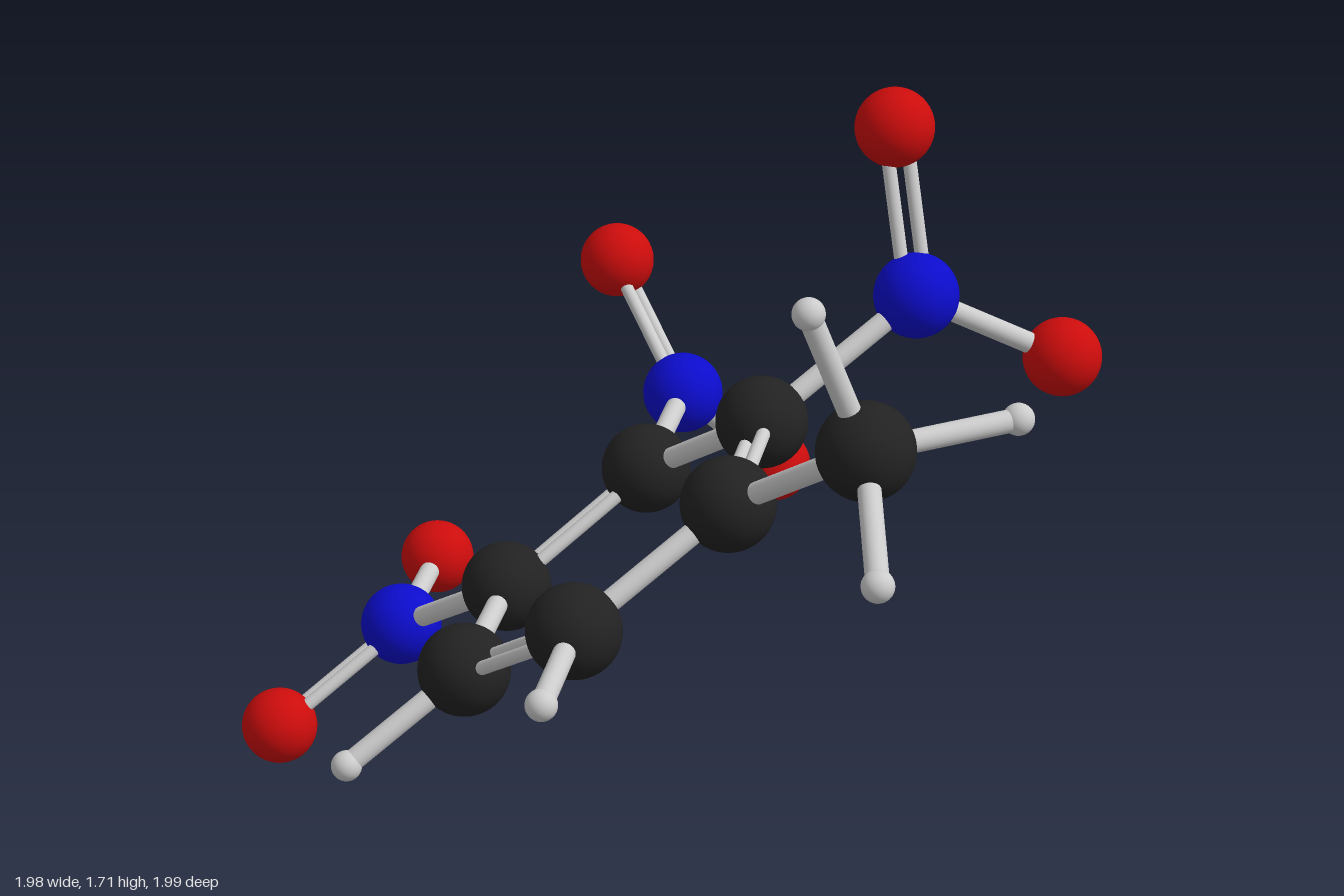
import * as THREE from 'three';

// Atom kinds: radius and colour
const KINDS = {
  carbon: { r: 0.106, color: 0x222222 },
  nitrogen: { r: 0.099, color: 0x0c0ccc },
  oxygen: { r: 0.092, color: 0xcc0c0c },
  hydrogen: { r: 0.035, color: 0xcccccc },
};

// Atom centres; the letter before the number gives the kind
const ATOMS = {
  c1: [-0.08, 0.78, -0.235], c2: [0.26, 1.03, -0.085], c3: [0.335, 1.04, 0.345],
  c4: [0.085, 0.82, 0.625], c5: [-0.245, 0.575, 0.475], c6: [-0.325, 0.555, 0.045],
  c7: [0.695, 1.31, 0.51],
  h1: [0.585, 1.63, 0.575], h2: [0.953, 1.32, 0.27], h3: [0.82, 1.165, 0.803],
  h4: [0.147, 0.83, 0.957], h5: [-0.442, 0.402, 0.692],
  n1: [-0.16, 0.76, -0.695], o1: [-0.4, 1.015, -0.86], o2: [0.01, 0.49, -0.91],
  n2: [0.527, 1.265, -0.382], o3: [0.432, 1.628, -0.48], o4: [0.84, 1.097, -0.533],
  n3: [-0.68, 0.297, -0.117], o5: [-0.9, 0.098, 0.132], o6: [-0.752, 0.283, -0.495],
};
const PREFIX = { c: 'carbon', n: 'nitrogen', o: 'oxygen', h: 'hydrogen' };

const SINGLE = [
  ['c1', 'c2'], ['c3', 'c4'], ['c5', 'c6'], ['c3', 'c7'],
  ['c7', 'h1'], ['c7', 'h2'], ['c7', 'h3'], ['c4', 'h4'], ['c5', 'h5'],
  ['c1', 'n1'], ['c2', 'n2'], ['c6', 'n3'],
  ['n1', 'o2'], ['n2', 'o4'], ['n3', 'o6'],
];
// Third entry: a neighbour that fixes the plane of the paired rods
const DOUBLE = [
  ['c1', 'c6', 'c2'], ['c2', 'c3', 'c1'], ['c4', 'c5', 'c3'],
  ['n1', 'o1', 'o2'], ['n2', 'o3', 'o4'], ['n3', 'o5', 'o6'],
];

const at = (id) => new THREE.Vector3(...ATOMS[id]);

export function createModel() {
  const model = new THREE.Group();
  model.name = 'molecule';
  const atoms = new THREE.Group();
  atoms.name = 'atoms';
  const bonds = new THREE.Group();
  bonds.name = 'bonds';
  model.add(atoms, bonds);

  // Spheres, sharing one geometry and material per kind
  const shared = {};
  for (const [kind, { r, color }] of Object.entries(KINDS)) {
    shared[kind] = [
      new THREE.SphereGeometry(r, 40, 28),
      new THREE.MeshStandardMaterial({ color }),
    ];
  }
  for (const id of Object.keys(ATOMS)) {
    const kind = PREFIX[id[0]];
    const ball = new THREE.Mesh(...shared[kind]);
    ball.name = `${kind}Atom${id.slice(1)}`;
    ball.position.copy(at(id));
    atoms.add(ball);
  }

  // Rods between atom centres
  const grey = new THREE.MeshStandardMaterial({ color: 0xcccccc });
  const up = new THREE.Vector3(0, 1, 0);
  function addRod(a, b, radius, name) {
    const dir = b.clone().sub(a);
    const rod = new THREE.Mesh(new THREE.CylinderGeometry(radius, radius, dir.length(), 24), grey);
    rod.name = name;
    rod.position.copy(a).add(b).multiplyScalar(0.5);
    rod.quaternion.setFromUnitVectors(up, dir.normalize());
    bonds.add(rod);
  }
  for (const [a, b] of SINGLE) addRod(at(a), at(b), 0.025, 'singleBond');

  // Paired thin rods, spread within the plane of the neighbouring atoms
  for (const [a, b, side] of DOUBLE) {
    const dir = at(b).sub(at(a)).normalize();
    const spread = at(side).sub(at(a));
    spread.addScaledVector(dir, -spread.dot(dir)).setLength(0.025);
    for (const s of [-1, 1]) {
      addRod(at(a).addScaledVector(spread, s), at(b).addScaledVector(spread, s), 0.016, 'doubleBond');
    }
  }
  return model;
}
